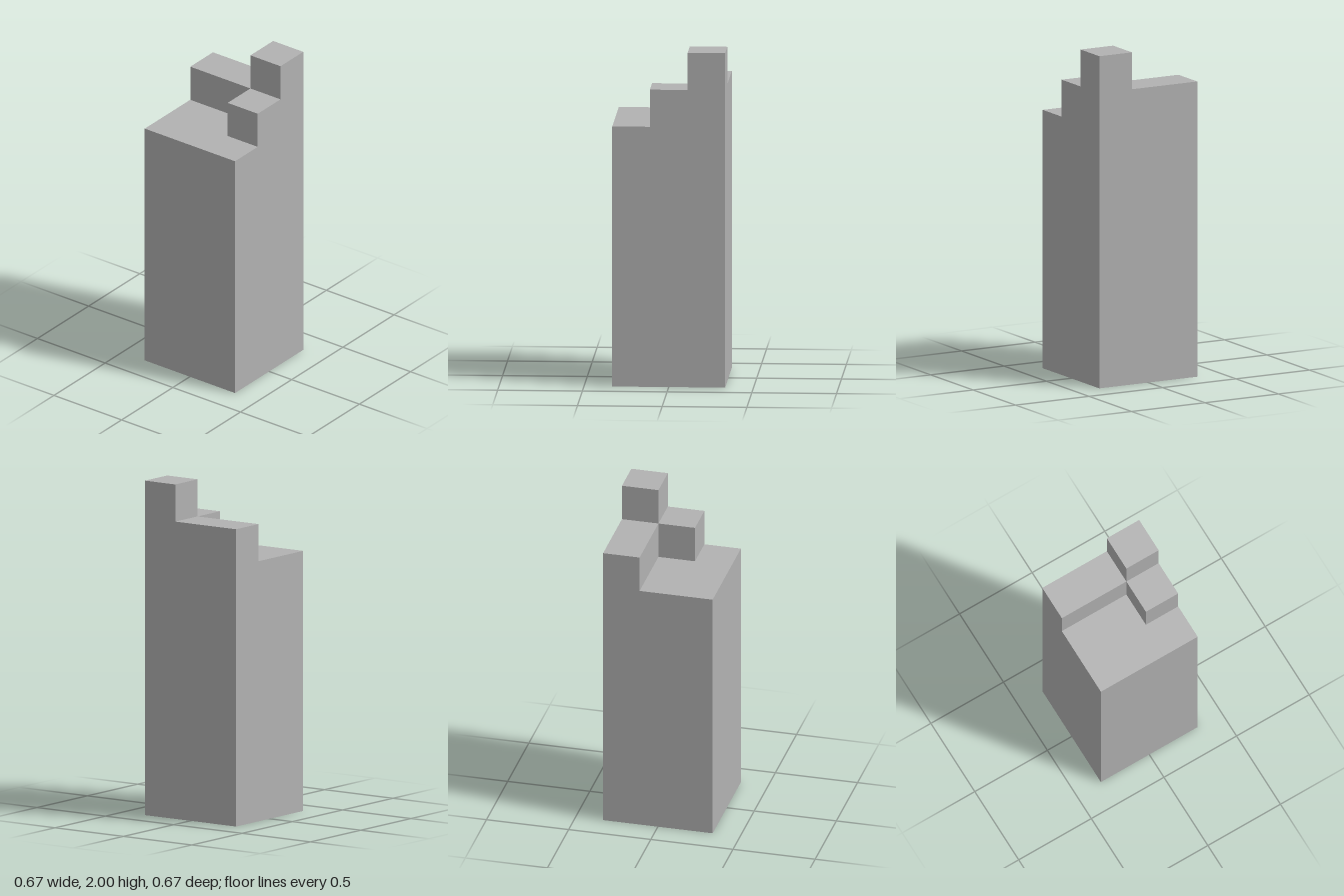
import * as THREE from 'three';
import { mergeGeometries } from 'three/addons/utils/BufferGeometryUtils.js';

const U = 2 / 9; // one grid unit
// Column heights in units: rows run back to front, columns along +x
const HEIGHTS = [
  [7, 7, 8],
  [7, 7, 8],
  [7, 8, 9],
];
const heightAt = (i, k) => HEIGHTS[k]?.[i] ?? 0;

// Rectangle that faces +z before it is turned and placed
function panel(w, h, rx, ry, x, y, z) {
  return new THREE.PlaneGeometry(w, h).rotateX(rx).rotateY(ry).translate(x, y, z);
}

export function createModel() {
  const stone = new THREE.MeshStandardMaterial({ color: 0xb2b2b2 });
  stone.name = 'stone grey';

  const tops = [];
  const walls = [];
  for (let k = 0; k < 3; k++) {
    for (let i = 0; i < 3; i++) {
      const h = heightAt(i, k);
      const x = (i - 1) * U;
      const z = (k - 1) * U;
      tops.push(panel(U, U, -Math.PI / 2, 0, x, h * U, z));
      // Walls only where the neighbouring column is lower
      for (const [dx, dz] of [[1, 0], [-1, 0], [0, 1], [0, -1]]) {
        const low = heightAt(i + dx, k + dz);
        if (low >= h) continue;
        walls.push(panel(U, (h - low) * U, 0, Math.atan2(dx, dz),
          x + dx * U / 2, (h + low) * U / 2, z + dz * U / 2));
      }
    }
  }
  const parts = {
    steppedTop: mergeGeometries(tops),
    towerWalls: mergeGeometries(walls),
    base: panel(3 * U, 3 * U, Math.PI / 2, 0, 0, 0, 0),
  };

  const group = new THREE.Group();
  group.name = 'steppedTower';
  for (const [name, geometry] of Object.entries(parts)) {
    const mesh = new THREE.Mesh(geometry, stone);
    mesh.name = name;
    group.add(mesh);
  }
  return group;
}
